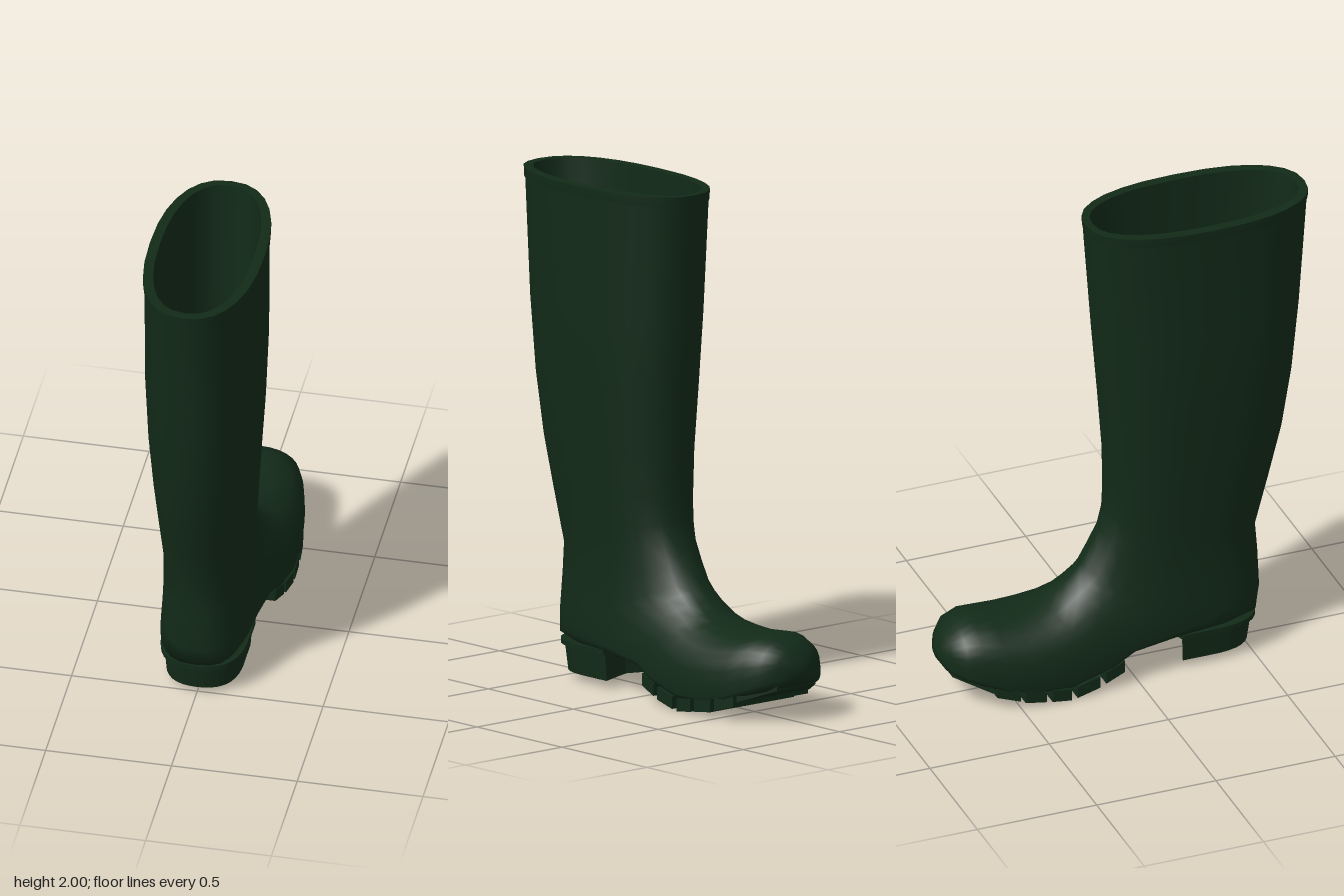
import * as THREE from 'three';

const SIDES = 28;
const material = new THREE.MeshStandardMaterial({ color: 0x122a18 });

// One cross-section between a back/sole point and a front/instep point.
// c: where along it the section is widest, e: squareness of the back/sole half.
function section([bz, by, fz, fy, w, c = 0.5, e = 0.85]) {
  const points = [];
  for (let j = 0; j < SIDES; j++) {
    const t = (j / SIDES) * Math.PI * 2;
    const cos = Math.cos(t), sin = Math.sin(t);
    const p = cos > 0 ? 0.85 : e;
    const along = Math.pow(Math.abs(cos), p);
    const s = cos > 0 ? c + (1 - c) * along : c - c * along;
    points.push([
      w * Math.sign(sin) * Math.pow(Math.abs(sin), p),
      by + (fy - by) * s,
      bz + (fz - bz) * s,
    ]);
  }
  return points;
}

// Skin a series of cross-sections
function loft(name, rows) {
  const index = [];
  for (let i = 0; i < rows.length - 1; i++) {
    for (let j = 0; j < SIDES; j++) {
      const k = (j + 1) % SIDES;
      const a = i * SIDES + j, b = i * SIDES + k;
      index.push(a, b, a + SIDES, b, b + SIDES, a + SIDES);
    }
  }
  const geometry = new THREE.BufferGeometry();
  geometry.setAttribute('position', new THREE.Float32BufferAttribute(rows.map(section).flat(2), 3));
  geometry.setIndex(index);
  geometry.computeVertexNormals();
  return mesh(name, geometry);
}

function mesh(name, geometry) {
  const m = new THREE.Mesh(geometry, material);
  m.name = name;
  return m;
}

// D-shaped heel slab with a notched front edge, narrowing towards the ground
function heelSlab(name, w, back, top, bottom, taper) {
  const front = 0.2;
  const shape = new THREE.Shape();
  shape.moveTo(-w, front);
  shape.lineTo(0, front + 0.06);
  shape.lineTo(w, front);
  shape.lineTo(w, 0.36);
  shape.bezierCurveTo(w * 0.95, back - 0.04, w * 0.55, back, 0, back);
  shape.bezierCurveTo(-w * 0.55, back, -w * 0.95, back - 0.04, -w, 0.36);
  shape.closePath();
  const geometry = new THREE.ExtrudeGeometry(shape, {
    depth: top - bottom, bevelEnabled: false, curveSegments: 8,
  });
  geometry.rotateX(Math.PI / 2).translate(0, top, 0);
  const p = geometry.attributes.position;
  for (let i = 0; i < p.count; i++) {
    if (p.getY(i) < (top + bottom) / 2) {
      p.setX(i, p.getX(i) * taper);
      p.setZ(i, front + (p.getZ(i) - front) * taper);
    }
  }
  geometry.computeVertexNormals();
  return mesh(name, geometry);
}

// Tread bar across the sole: each end has its own depth and half width
function treadBar([zBack, zFront, yBack, yFront, wBack, wFront]) {
  const geometry = new THREE.BoxGeometry(2, 1, 1);
  const p = geometry.attributes.position;
  for (let i = 0; i < p.count; i++) {
    const isBack = p.getZ(i) > 0;
    const y = isBack ? yBack : yFront;
    p.setXYZ(i,
      p.getX(i) * (isBack ? wBack : wFront),
      p.getY(i) > 0 ? y + 0.05 : y,
      isBack ? zBack : zFront);
  }
  geometry.computeVertexNormals();
  return mesh('treadBar', geometry);
}

export function createModel() {
  const boot = new THREE.Group();
  boot.name = 'boot';

  // Shaft, ankle and foot: sections turn from level to upright towards the toe
  boot.add(loft('upper', [
    [0.77, 2, -0.15, 2, 0.228],
    [0.768, 1.965, -0.147, 1.965, 0.228],
    [0.764, 1.955, -0.145, 1.955, 0.222],
    [0.73, 1.5, -0.11, 1.5, 0.223],
    [0.7, 1.2, -0.085, 1.2, 0.212],
    [0.66, 0.95, -0.067, 0.95, 0.195],
    [0.61, 0.75, -0.065, 0.78, 0.182],
    [0.55, 0.52, -0.07, 0.69, 0.17],
    [0.56, 0.4, -0.09, 0.61, 0.168, 0.48],
    [0.565, 0.24, -0.13, 0.54, 0.17, 0.42, 0.8],
    [0.545, 0.16, -0.17, 0.47, 0.175, 0.38, 0.7],
    [0.4, 0.14, -0.2, 0.435, 0.175, 0.35, 0.5],
    [0.2, 0.14, -0.235, 0.4, 0.18, 0.32, 0.35],
    [0, 0.125, -0.28, 0.362, 0.195, 0.3, 0.3],
    [-0.1, 0.085, -0.33, 0.34, 0.215, 0.28, 0.3],
    [-0.28, 0.04, -0.4, 0.33, 0.228, 0.28, 0.3],
    [-0.42, 0.045, -0.48, 0.325, 0.228, 0.28, 0.3],
    [-0.55, 0.07, -0.56, 0.332, 0.212, 0.28, 0.3],
    [-0.64, 0.1, -0.64, 0.34, 0.19, 0.3, 0.35],
    [-0.71, 0.125, -0.7, 0.32, 0.16, 0.35, 0.4],
    [-0.755, 0.145, -0.745, 0.285, 0.1, 0.4, 0.5],
    [-0.772, 0.17, -0.768, 0.235, 0.045, 0.5],
    [-0.775, 0.2, -0.775, 0.2, 0],
  ]));

  // Flat lip around the opening
  boot.add(loft('rim', [
    [0.735, 2, -0.12, 2, 0.188],
    [0.77, 2, -0.15, 2, 0.228],
  ]));

  // Inside of the shaft, from the floor up
  boot.add(loft('lining', [
    [0.26, 0.5, 0.26, 0.5, 0],
    [0.48, 0.5, 0.04, 0.5, 0.085],
    [0.55, 0.7, -0.01, 0.7, 0.135],
    [0.62, 1, -0.03, 1, 0.165],
    [0.69, 1.5, -0.075, 1.5, 0.184],
    [0.735, 2, -0.12, 2, 0.188],
  ]));

  // Heel block with a thin edge above it
  boot.add(heelSlab('heelEdge', 0.17, 0.545, 0.155, 0.135, 1));
  boot.add(heelSlab('heel', 0.158, 0.53, 0.14, 0.03, 0.95));

  // Tread bars under the ball of the foot
  const tread = new THREE.Group();
  tread.name = 'tread';
  [
    [-0.06, -0.145, 0.06, 0.035, 0.195, 0.212],
    [-0.17, -0.27, 0.025, 0.005, 0.215, 0.225],
    [-0.295, -0.375, 0, 0.01, 0.225, 0.225],
    [-0.4, -0.485, 0.015, 0.025, 0.225, 0.218],
    [-0.505, -0.595, 0.035, 0.06, 0.215, 0.195],
    [-0.61, -0.745, 0.08, 0.135, 0.19, 0.1],
  ].forEach((bar) => tread.add(treadBar(bar)));
  boot.add(tread);

  return boot;
}
